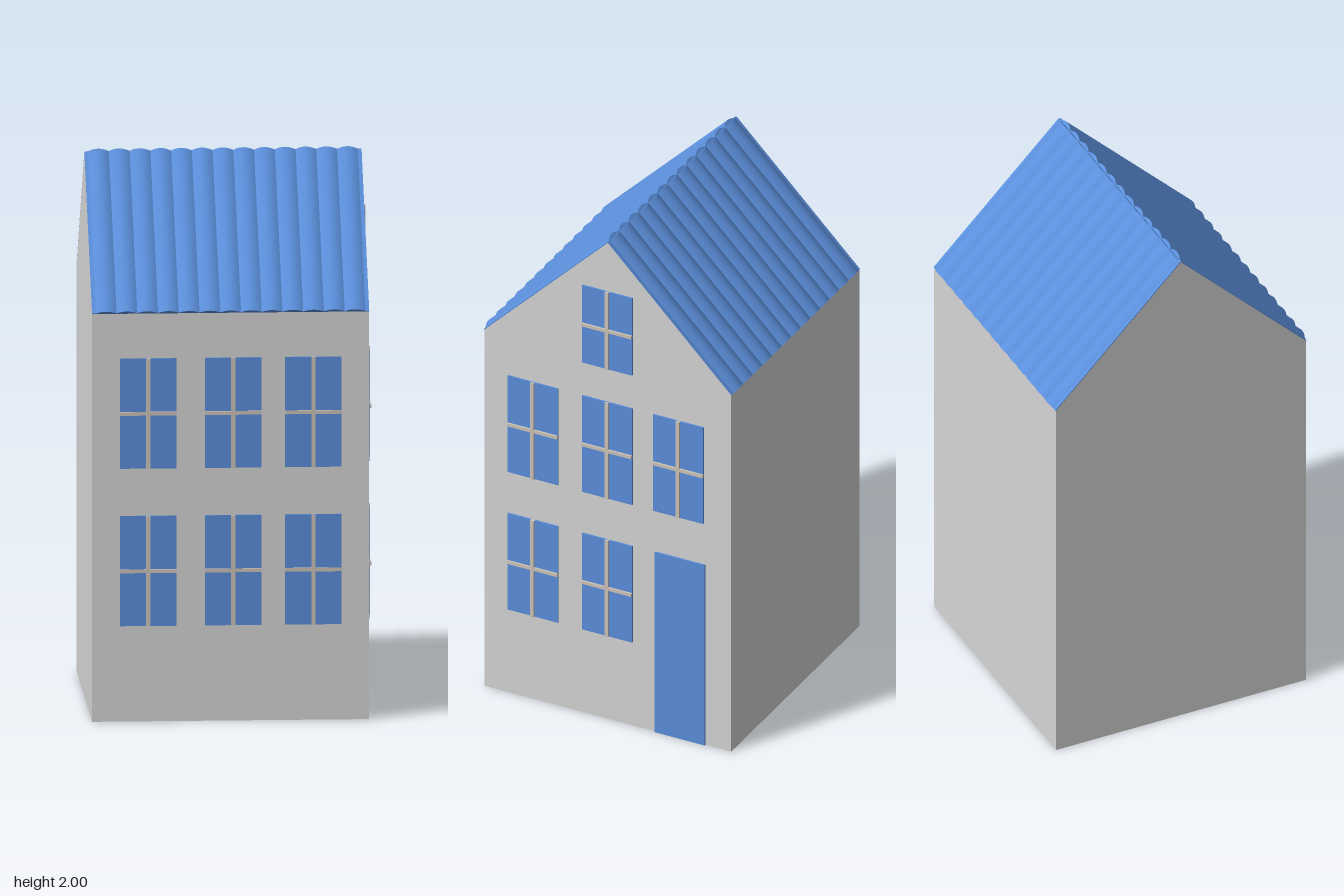
import * as THREE from 'three';

export function createModel() {
  const mat = (name, color) => {
    const m = new THREE.MeshStandardMaterial({ color });
    m.name = name;
    return m;
  };
  const wall = mat('wall grey', 0xd6d6d6);
  const blue = mat('blue', 0x5b8fdb);
  const bar = mat('window bar', 0xcfc6ba);

  const house = new THREE.Group();
  house.name = 'house';
  const add = (parent, name, geometry, material, x = 0, y = 0, z = 0) => {
    const mesh = new THREE.Mesh(geometry, material);
    mesh.name = name;
    mesh.position.set(x, y, z);
    parent.add(mesh);
    return mesh;
  };

  // Outer limits of the walls
  const left = -0.507, right = 0.49, front = 0.497, back = -0.503;
  const midX = (left + right) / 2, midZ = (front + back) / 2;
  const eave = 1.489, ridge = 1.989;

  // Walls: gable outline extruded along x
  const gable = new THREE.Shape();
  gable.moveTo(-front, 0);
  gable.lineTo(-back, 0);
  gable.lineTo(-back, eave);
  gable.lineTo(-midZ, ridge);
  gable.lineTo(-front, eave);
  const body = new THREE.ExtrudeGeometry(gable, { depth: right - left, bevelEnabled: false });
  body.rotateY(Math.PI / 2);
  add(house, 'walls', body, wall, left, 0, 0);

  // Roof: a thin sheet with thirteen shallow rounded tile rows on each slope
  const tiles = 13, pitch = 0.0746, sheet = 0.003, bulge = 0.011;
  const half = (right - left) / 2, start = -tiles * pitch / 2;
  const profile = new THREE.Shape();
  profile.moveTo(half, 0);
  profile.lineTo(half, sheet);
  for (let i = tiles - 1; i >= 0; i--) {
    const steps = 8;
    for (let k = steps; k >= 0; k--) {
      const t = k / steps;
      profile.lineTo(start + (i + t) * pitch, sheet + bulge * 4 * t * (1 - t) + (k % steps ? 0 : 0.0002));
    }
  }
  profile.lineTo(-half, sheet);
  profile.lineTo(-half, 0);
  const slope = new THREE.ExtrudeGeometry(profile, { depth: 0.5 * Math.SQRT2, bevelEnabled: false });
  slope.rotateX(Math.PI / 4);
  const roof = new THREE.Group();
  roof.name = 'roof';
  roof.position.set(midX, ridge, midZ);
  add(roof, 'frontSlope', slope, blue);
  add(roof, 'backSlope', slope, blue).rotation.y = Math.PI;
  house.add(roof);

  // Each facade is a group whose +z points outwards from the wall
  const facade = (name, x, z, turn) => {
    const g = new THREE.Group();
    g.name = name;
    g.position.set(x, 0, z);
    g.rotation.y = turn;
    house.add(g);
    return g;
  };
  const addWindow = (parent, u, y, h) => {
    const w = new THREE.Group();
    w.name = 'window';
    w.position.set(u, y, 0);
    add(w, 'glass', new THREE.BoxGeometry(0.203, h, 0.006), blue, 0, 0, 0.003);
    add(w, 'verticalBar', new THREE.BoxGeometry(0.015, h, 0.013), bar, 0, 0, 0.0065);
    add(w, 'horizontalBar', new THREE.BoxGeometry(0.203, 0.013, 0.013), bar, 0, 0, 0.0065);
    parent.add(w);
  };

  // Front facade: two rows of three windows
  const lower = 0.55, upper = 1.125;
  const frontFacade = facade('frontFacade', 0, front, 0);
  for (const y of [lower, upper])
    for (const u of [-0.305, 0, 0.289]) addWindow(frontFacade, u, y, 0.402);

  // Gable facade: windows, attic window and door
  const sideFacade = facade('sideFacade', right, 0, Math.PI / 2);
  for (const u of [-0.298, 0.003]) addWindow(sideFacade, u, lower, 0.402);
  for (const u of [-0.298, 0.003, 0.291]) addWindow(sideFacade, u, upper, 0.402);
  addWindow(sideFacade, 0.003, 1.626, 0.323);
  add(sideFacade, 'door', new THREE.BoxGeometry(0.202, 0.753, 0.006), blue, 0.297, 0.3765, 0.003);

  return house;
}
